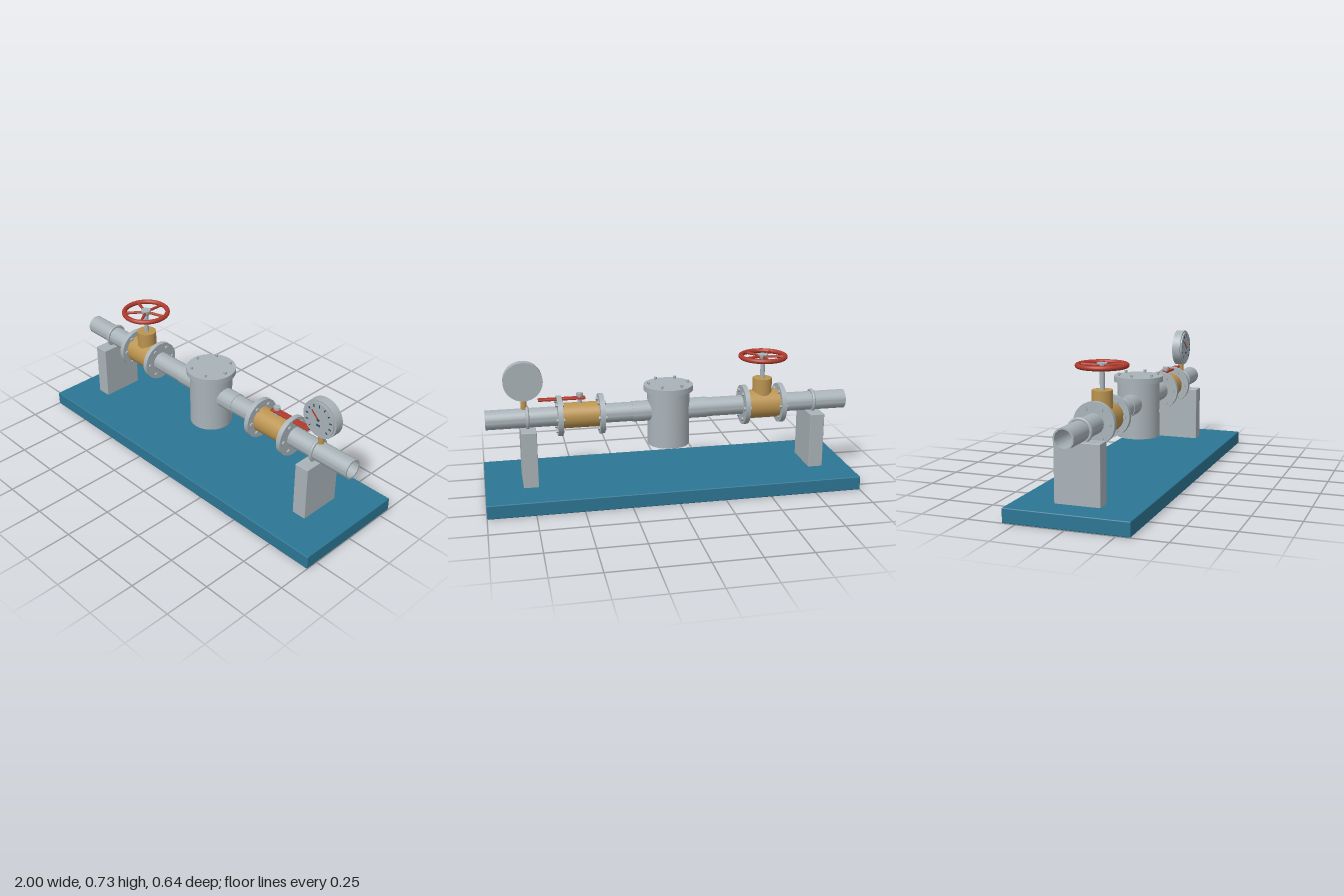
import * as THREE from 'three';
import { toCreasedNormals } from 'three/addons/utils/BufferGeometryUtils.js';
import { RoundedBoxGeometry } from 'three/addons/geometries/RoundedBoxGeometry.js';

const mat = (name, color) => {
  const m = new THREE.MeshStandardMaterial({ color });
  m.name = name;
  return m;
};

export function createModel() {
  const model = new THREE.Group();
  model.name = 'pipeAssembly';
  const steel = mat('steel grey', 0xa9b3b8);
  const brass = mat('brass', 0xbb9450);
  const red = mat('handle red', 0xb03a2c);
  const blue = mat('base blue', 0x2c7694);
  const dark = mat('dial marks', 0x1f5068);

  const PIPE_Y = 0.425, PIPE_R = 0.052, BORE = 0.044;

  const add = (name, geo, material, x = 0, y = 0, z = 0, parent = model) => {
    const mesh = new THREE.Mesh(geo, material);
    mesh.name = name;
    mesh.position.set(x, y, z);
    parent.add(mesh);
    return mesh;
  };
  const cyl = (r, h, n = 40) => new THREE.CylinderGeometry(r, r, h, n);
  // Turned part along y, with crisp edges
  const turned = (pts) => toCreasedNormals(
    new THREE.LatheGeometry(pts.map(([r, y]) => new THREE.Vector2(r, y)), 48), 0.6);
  // Hollow tube lying along x
  const tubeX = (name, x0, x1, outer, inner, material) => {
    const h = (x1 - x0) / 2;
    const geo = turned([[outer, -h], [outer, h], [inner, h], [inner, -h], [outer, -h]]);
    return add(name, geo.rotateZ(-Math.PI / 2), material, (x0 + x1) / 2, PIPE_Y);
  };

  // Base plate and supports
  add('basePlate', new RoundedBoxGeometry(2, 0.075, 0.64, 2, 0.005), blue, 0, 0.0375);
  for (const x of [-0.813, 0.76]) {
    add('pedestal', new RoundedBoxGeometry(0.08, 0.308, 0.236, 2, 0.003), steel, x, 0.224);
    add('pipeClamp', new THREE.TorusGeometry(0.057, 0.009, 12, 48).rotateY(Math.PI / 2), steel, x, PIPE_Y);
  }

  // Pipe runs and the wider collars beside the strainer
  for (const [a, b] of [[-1, -0.615], [-0.434, -0.1], [0.1, 0.38], [0.58, 0.98]])
    tubeX('pipe', a, b, PIPE_R, BORE, steel);
  for (const [a, b] of [[-0.21, -0.1], [0.1, 0.2]])
    tubeX('pipeCollar', a, b, 0.0555, BORE, steel);

  // Flange ring with six hexagonal bolts
  const flange = (x0, x1) => {
    tubeX('flange', x0, x1, 0.108, BORE, steel);
    for (let i = 0; i < 6; i++) {
      const a = (i * Math.PI) / 3;
      const bolt = new THREE.CylinderGeometry(0.0105, 0.0105, x1 - x0 + 0.018, 6)
        .toNonIndexed().rotateZ(Math.PI / 2);
      bolt.computeVertexNormals();
      add('flangeBolt', bolt, steel, (x0 + x1) / 2,
        PIPE_Y + 0.082 * Math.sin(a), 0.082 * Math.cos(a));
    }
  };

  // Gate valve
  const GX = -0.526;
  add('gateValveBody', cyl(0.078, 0.182).rotateZ(Math.PI / 2), brass, GX, PIPE_Y);
  flange(-0.64, -0.614);
  flange(-0.436, -0.41);
  add('gateValveBonnet', cyl(0.053, 0.15), brass, GX, 0.498);
  add('gateValveStem', cyl(0.0125, 0.12, 24), steel, GX, 0.63);

  // Handwheel
  const wheel = new THREE.Group();
  wheel.name = 'handwheel';
  wheel.position.set(GX, 0.694, 0);
  model.add(wheel);
  add('wheelRim', new THREE.TorusGeometry(0.121, 0.0128, 14, 64).rotateX(Math.PI / 2), red, 0, 0, 0, wheel);
  add('wheelHub', turned([[0, -0.018], [0.018, -0.018], [0.027, -0.004], [0.027, 0.012], [0, 0.012]]),
    steel, 0, 0, 0, wheel);
  for (let i = 0; i < 5; i++) {
    const spoke = cyl(0.0075, 0.1, 12).rotateX(Math.PI / 2).translate(0, 0, -0.068);
    add('wheelSpoke', spoke, red, 0, 0, 0, wheel).rotation.y = (i * Math.PI * 2) / 5;
  }

  // Strainer pot with bolted lid
  add('strainerBody', cyl(0.114, 0.303, 56), steel, 0, 0.3885);
  add('strainerLid', cyl(0.133, 0.03, 56), steel, 0, 0.552);
  for (let i = 0; i < 6; i++) {
    const a = (i * Math.PI) / 3, x = 0.107 * Math.cos(a), z = 0.107 * Math.sin(a);
    add('lidBoltShank', cyl(0.005, 0.014, 12), steel, x, 0.57, z);
    add('lidBoltHead', cyl(0.0085, 0.01, 6), steel, x, 0.578, z);
  }

  // Ball valve
  const BX = 0.48;
  add('ballValveBody', cyl(0.068, 0.2).rotateZ(Math.PI / 2), brass, BX, PIPE_Y);
  flange(0.355, 0.381);
  flange(0.577, 0.603);
  add('ballValveStem', cyl(0.011, 0.06, 20), steel, BX, 0.51);
  add('ballValveLever', new RoundedBoxGeometry(0.25, 0.011, 0.036, 2, 0.003), red, 0.575, 0.519);
  add('leverNut', cyl(0.018, 0.014, 24), steel, BX, 0.539);

  // Pressure gauge
  const gauge = new THREE.Group();
  gauge.name = 'pressureGauge';
  gauge.position.set(0.775, 0.627, 0);
  model.add(gauge);
  add('gaugeStem', cyl(0.016, 0.12, 24), brass, 0, -0.144, 0, gauge);
  add('gaugeCase', cyl(0.1035, 0.048, 56).rotateX(Math.PI / 2), steel, 0, 0, 0, gauge);
  add('gaugeDial', cyl(0.093, 0.007, 56).rotateX(Math.PI / 2), steel, 0, 0, 0.0275, gauge);
  for (let i = 0; i < 11; i++) {
    const tick = new THREE.BoxGeometry(0.005, 0.014, 0.003).translate(0, 0.075, 0);
    add('dialTick', tick, dark, 0, 0, 0.0325, gauge).rotation.z = Math.PI * (0.75 - i * 0.15);
  }
  add('dialPlate', new THREE.BoxGeometry(0.022, 0.01, 0.002), dark, 0, -0.032, 0.032, gauge);
  const needle = new THREE.BoxGeometry(0.006, 0.068, 0.004).translate(0, 0.026, 0);
  add('needle', needle, red, 0, 0, 0.035, gauge).rotation.z = 0.8;
  add('needlePin', cyl(0.006, 0.006, 16).rotateX(Math.PI / 2), dark, 0, 0, 0.036, gauge);

  return model;
}
